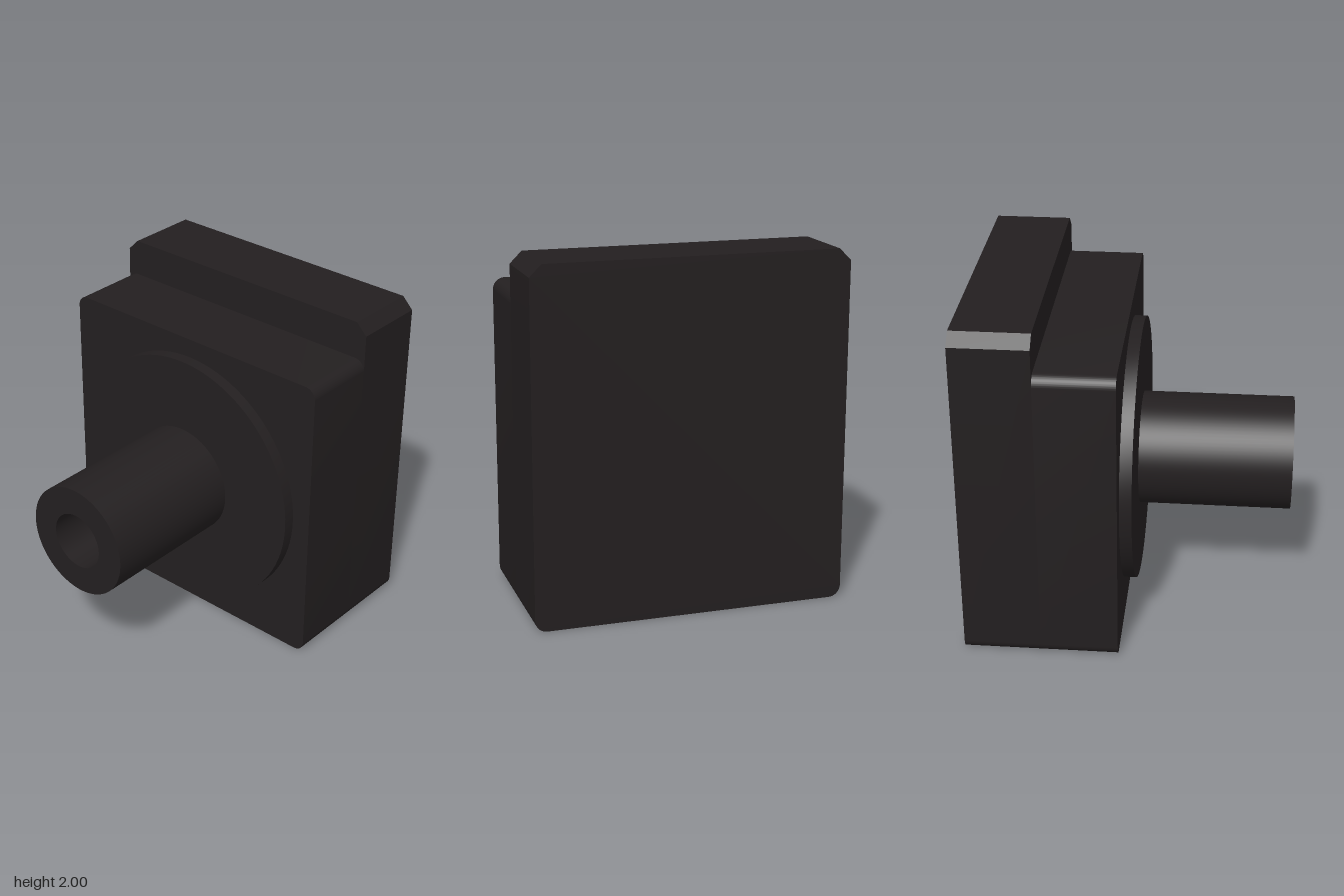
import * as THREE from 'three';
import { toCreasedNormals } from 'three/addons/utils/BufferGeometryUtils.js';

const HALF = 0.89;      // half width of the body
const CORNER = 0.067;   // corner radius and chamfer size
const AXIS_Y = 0.89;    // height of the shaft axis

export function createModel() {
  const group = new THREE.Group();
  const material = new THREE.MeshStandardMaterial({ color: 0x231f20 });

  function add(name, geometry) {
    const mesh = new THREE.Mesh(toCreasedNormals(geometry, 0.5), material);
    mesh.name = name;
    group.add(mesh);
    return mesh;
  }

  // Block outline: rounded bottom corners, rounded or chamfered top corners
  function blockShape(top, chamfered) {
    const s = new THREE.Shape();
    const c = CORNER;
    s.moveTo(-HALF + c, 0);
    s.lineTo(HALF - c, 0);
    s.absarc(HALF - c, c, c, -Math.PI / 2, 0);
    s.lineTo(HALF, top - c);
    if (chamfered) s.lineTo(HALF - c, top);
    else s.absarc(HALF - c, top - c, c, 0, Math.PI / 2);
    s.lineTo(-HALF + c, top);
    if (chamfered) s.lineTo(-HALF, top - c);
    else s.absarc(-HALF + c, top - c, c, Math.PI / 2, Math.PI);
    s.lineTo(-HALF, c);
    s.absarc(-HALF + c, c, c, Math.PI, Math.PI * 1.5);
    return s;
  }

  function block(name, top, chamfered, z0, z1) {
    const geometry = new THREE.ExtrudeGeometry(blockShape(top, chamfered), {
      depth: z1 - z0, bevelEnabled: false, curveSegments: 10,
    });
    add(name, geometry).position.z = z0;
  }

  // Turned part about the shaft axis, profile given as [radius, z]
  function turned(name, profile) {
    const points = profile.map(([r, z]) => new THREE.Vector2(r, z));
    const geometry = new THREE.LatheGeometry(points, 96);
    geometry.rotateX(Math.PI / 2);
    add(name, geometry).position.y = AXIS_Y;
  }

  // Stepped body: taller chamfered back, lower rounded front
  block('rearBody', 2, true, -0.92, -0.48);
  block('frontBody', 1.78, false, -0.48, -0.035);

  // Round flange on the front face
  turned('flange', [[0.777, -0.035], [0.777, 0.035], [0.332, 0.035], [0, 0.035]]);

  // Shaft with a blind bore in its end
  turned('shaft', [[0.332, 0.035], [0.332, 0.92], [0.168, 0.92], [0.168, 0.04], [0, 0.04]]);

  return group;
}
